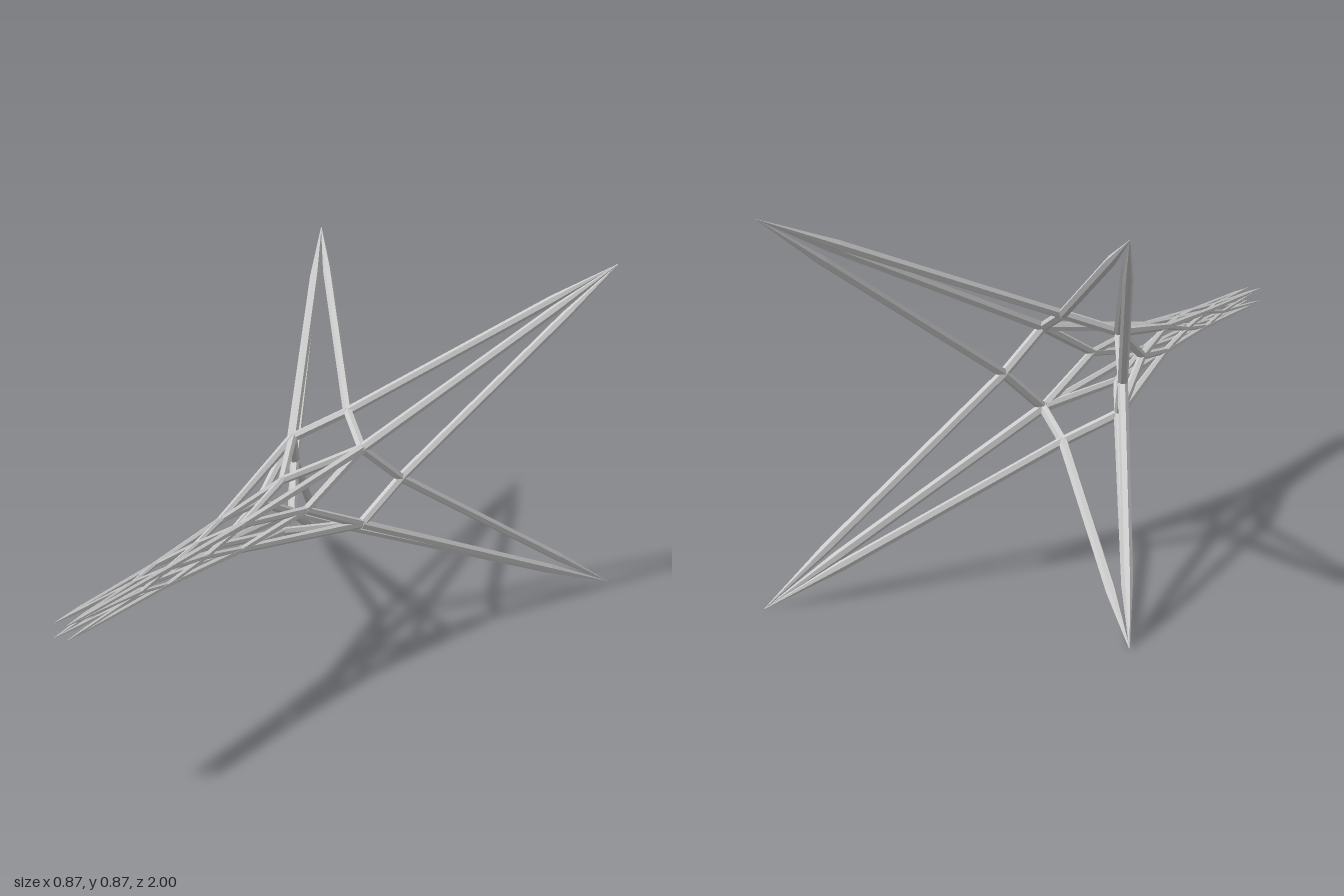
import * as THREE from 'three';

const CY = 0.435; // height of the long axis
const steel = new THREE.MeshStandardMaterial({ color: 0xcccccc, flatShading: true });
steel.name = 'light grey';

export function createModel() {
  const model = new THREE.Group();
  model.name = 'strutFramework';
  const up = new THREE.Vector3(0, 1, 0);

  // six-sided rod from a to b; the far end may narrow to a needle point
  function strut(name, a, b, ra, rb, sharpEnd = false) {
    const dir = b.clone().sub(a), len = dir.length();
    const profile = [[0, 0], [ra, 0]];
    if (sharpEnd) profile.push([rb, len * 0.75], [0.001, len]);
    else profile.push([rb, len]);
    profile.push([0, len]);
    const geo = new THREE.LatheGeometry(profile.map(p => new THREE.Vector2(p[0], p[1])), 6);
    const mesh = new THREE.Mesh(geo, steel);
    mesh.name = name;
    mesh.position.copy(a);
    mesh.quaternion.setFromUnitVectors(up, dir.normalize());
    model.add(mesh);
  }

  function joint(p, r) {
    const mesh = new THREE.Mesh(new THREE.IcosahedronGeometry(r, 0), steel);
    mesh.name = 'joint';
    mesh.position.copy(p);
    model.add(mesh);
  }

  // rings of four nodes around the axis: on the diagonals or on the cross
  const node = (radius, angle, z) =>
    new THREE.Vector3(Math.cos(angle) * radius, CY + Math.sin(angle) * radius, z);
  const ring = (radius, z, turn) =>
    [0, 1, 2, 3].map(i => node(radius, (i + turn) * Math.PI / 2, z));
  const diagonal = (s, z) => ring(s * Math.SQRT2, z, 0.5);
  const cross = (r, z) => ring(r, z, 0);

  const tips = diagonal(0.433, -1);
  const backCross = cross(0.15, -0.33);
  const shoulder = diagonal(0.097, -0.22);
  const waist = cross(0.065, 0.01);
  const neck = diagonal(0.03, 0.26);
  const collar = cross(0.025, 0.42);
  const knuckle = diagonal(0.019, 0.58);
  const cuff = cross(0.019, 0.7);
  const prongs = diagonal(0.017, 1);

  for (let i = 0; i < 4; i++) {
    // spines along each diagonal, from arm tip to front needle
    strut('armSpine', shoulder[i], tips[i], 0.013, 0.012, true);
    strut('bodySpine', shoulder[i], neck[i], 0.012, 0.009);
    strut('neckSpine', neck[i], knuckle[i], 0.009, 0.007);
    strut('prongSpine', knuckle[i], prongs[i], 0.007, 0.005, true);

    // braces to the two cross nodes beside this diagonal
    for (const k of [i, (i + 1) % 4]) {
      strut('armBrace', backCross[k], tips[i], 0.012, 0.012, true);
      strut('backRing', backCross[k], shoulder[i], 0.012, 0.012);
      strut('shoulderBrace', shoulder[i], waist[k], 0.012, 0.01);
      strut('waistBrace', waist[k], neck[i], 0.01, 0.008);
      strut('neckBrace', neck[i], collar[k], 0.008, 0.007);
      strut('collarBrace', collar[k], knuckle[i], 0.007, 0.006);
      strut('knuckleBrace', knuckle[i], cuff[k], 0.006, 0.005);
      strut('prongBrace', cuff[k], prongs[i], 0.005, 0.004, true);
    }

    joint(backCross[i], 0.013);
    joint(shoulder[i], 0.014);
    joint(waist[i], 0.011);
    joint(neck[i], 0.01);
    joint(collar[i], 0.008);
  }
  return model;
}
